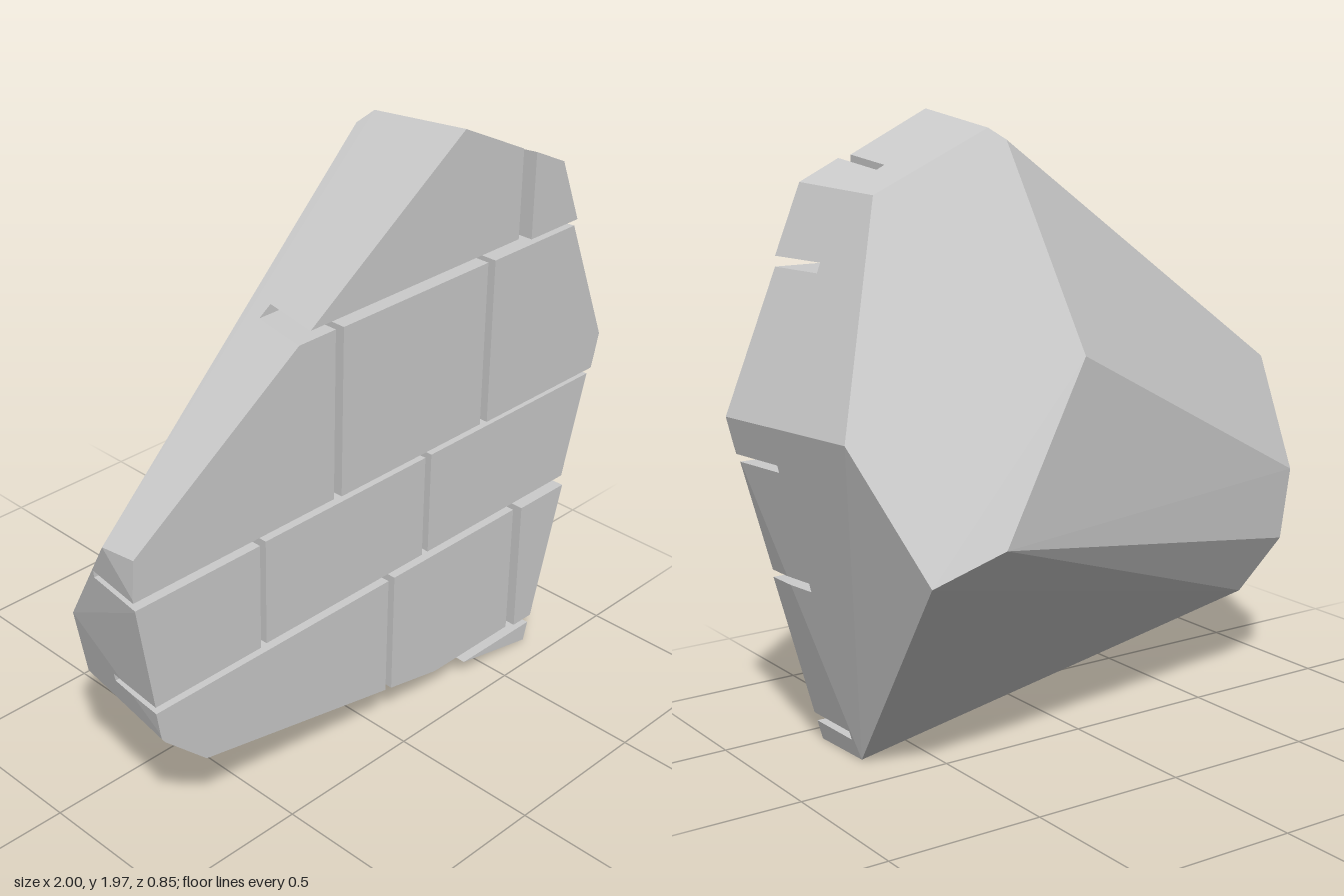
import * as THREE from 'three';
import { ConvexGeometry } from 'three/addons/geometries/ConvexGeometry.js';

const FRONT = 0.43;   // furthest brick face
const GROOVE = 0.2;   // depth plane where the mortar grooves end

// Outline of the broken wall face
const outline = [
  [0.29, 1.97], [0.72, 1.76], [1.0, 1.08], [0.705, 0], [-0.75, 0.3],
  [-0.92, 0.46], [-1.0, 0.95], [-0.99, 1.1],
];

// Corners of the rough back of the chunk
const backCorners = [
  [0.305, 1.925, 0.03], [0.26, 1.89, 0], [0.68, 1.745, 0.06], [0.92, 1.085, -0.17],
  [0.19, 1.28, -0.3], [0.55, 0.78, -0.42], [0.78, 0.7, -0.39], [0.7, 0.005, 0.17],
  [-0.99, 1.08, 0.27], [-0.93, 0.725, 0.04], [-0.88, 0.49, 0.03], [-0.76, 0.305, 0.1],
];

// Brick courses: bottom, top, front face z per brick, joints between bricks
const JOINT = 0.0135;
const courses = [
  { y: [-0.1, 0.065], z: [0.41], joints: [] },
  { y: [0.093, 0.56], z: [0.4, 0.4, 0.413], joints: [0.03, 0.63] },
  { y: [0.588, 0.94], z: [0.405, 0.4, 0.4], joints: [-0.52, 0.182] },
  { y: [0.963, 1.515], z: [0.4, 0.405, 0.41], joints: [-0.217, 0.428] },
  { y: [1.545, 2.1], z: [0.4, 0.428], joints: [0.572] },
];

// Cuts a convex solid, keeping the side where sign * (axis - limit) <= 0
function clip(points, axis, limit, sign) {
  const pos = new ConvexGeometry(points).getAttribute('position');
  const kept = new Map();
  const add = (p) => kept.set(p.toArray().map((n) => Math.round(n * 1e4)).join(), p);
  const side = (p) => sign * (p[axis] - limit);
  for (let i = 0; i < pos.count; i += 3) {
    const tri = [0, 1, 2].map((k) => new THREE.Vector3().fromBufferAttribute(pos, i + k));
    tri.forEach((a, k) => {
      const b = tri[(k + 1) % 3];
      const da = side(a), db = side(b);
      if (da <= 1e-6) add(a);
      if (da * db < 0) add(a.clone().lerp(b, da / (da - db)));
    });
  }
  return [...kept.values()];
}

export function createModel() {
  const group = new THREE.Group();
  group.name = 'brickWallChunk';
  const material = new THREE.MeshStandardMaterial({ color: 0xcccccc, flatShading: true });

  const addPart = (name, points) => {
    const mesh = new THREE.Mesh(new ConvexGeometry(points), material);
    mesh.name = name;
    group.add(mesh);
  };

  const solid = [
    ...outline.map(([x, y]) => new THREE.Vector3(x, y, FRONT)),
    ...backCorners.map((c) => new THREE.Vector3(...c)),
  ];

  // Solid rear of the chunk, also the floor of the grooves
  addPart('core', clip(solid, 'z', GROOVE, 1));

  // Bricks cut from the front slab, course by course
  const slab = clip(solid, 'z', GROOVE, -1);
  courses.forEach(({ y, z, joints }, row) => {
    let course = slab;
    if (y[0] > 0) course = clip(course, 'y', y[0], -1);
    if (y[1] < 1.97) course = clip(course, 'y', y[1], 1);
    z.forEach((front, i) => {
      let brick = clip(course, 'z', front, 1);
      if (i > 0) brick = clip(brick, 'x', joints[i - 1] + JOINT, -1);
      if (i < joints.length) brick = clip(brick, 'x', joints[i] - JOINT, 1);
      addPart(`brickRow${row + 1}Number${i + 1}`, brick);
    });
  });

  return group;
}
